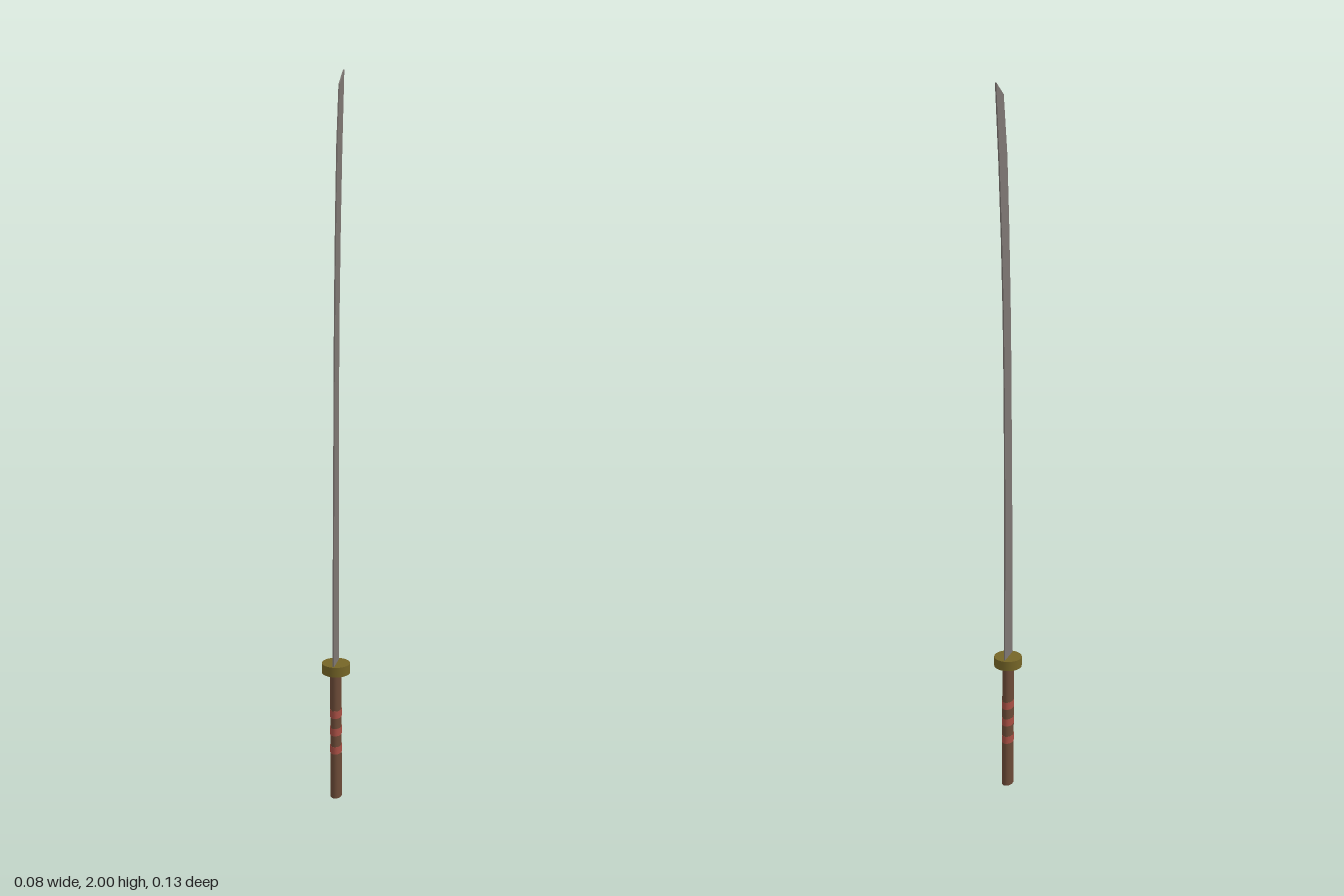
import * as THREE from 'three';

const AXIS_Z = 0.028; // shared axis of guard and grip

function material(color) {
  return new THREE.MeshStandardMaterial({ color });
}

export function createModel() {
  const model = new THREE.Group();
  model.name = 'curvedSword';

  function add(name, geometry, mat) {
    const mesh = new THREE.Mesh(geometry, mat);
    mesh.name = name;
    model.add(mesh);
    return mesh;
  }

  // Blade: thin curved outline, given as [z, y] along the edge and the spine
  const edge = [[0.061, 0.38], [0.06, 0.7], [0.053, 1.0], [0.05, 1.2], [0.042, 1.42], [0.031, 1.62], [0.016, 1.81], [-0.011, 1.965]];
  const spine = [[-0.066, 2.0], [-0.042, 1.8], [-0.024, 1.6], [-0.011, 1.4], [-0.004, 1.2], [0, 0.95], [0.001, 0.7], [-0.002, 0.38]];
  const outline = new THREE.Shape([...edge, ...spine].map(([z, y]) => new THREE.Vector2(-z, y)));
  const thickness = 0.0036;
  const bladeGeometry = new THREE.ExtrudeGeometry(outline, { depth: thickness, bevelEnabled: false });
  bladeGeometry.translate(0, 0, -thickness / 2).rotateY(Math.PI / 2);
  add('blade', bladeGeometry, material(0x7d7672));

  // Guard: round plate between blade and grip
  const guard = add('guard', new THREE.CylinderGeometry(0.039, 0.039, 0.028, 32), material(0x756527));
  guard.position.set(0, 0.384, AXIS_Z);

  // Grip: oval rod leaning very slightly forward at the top
  const gripZ = (y) => AXIS_Z - 0.002 + 0.004 * (y / 0.37);
  function ovalRod(y0, y1, grow) {
    const geometry = new THREE.CylinderGeometry(1, 1, y1 - y0, 24);
    geometry.scale(0.0155 + grow, 1, 0.0235 + grow);
    geometry.translate(0, (y0 + y1) / 2, 0);
    const p = geometry.attributes.position;
    for (let i = 0; i < p.count; i++) p.setZ(i, p.getZ(i) + gripZ(p.getY(i)));
    return geometry;
  }
  add('grip', ovalRod(0, 0.372, 0), material(0x6b4a37));

  // Three wrapped bands on the grip
  const bandMaterial = material(0xa84f44);
  [0.145, 0.2, 0.252].forEach((y, i) => {
    add('gripBand' + (i + 1), ovalRod(y - 0.011, y + 0.011, 0.0005), bandMaterial);
  });

  return model;
}
